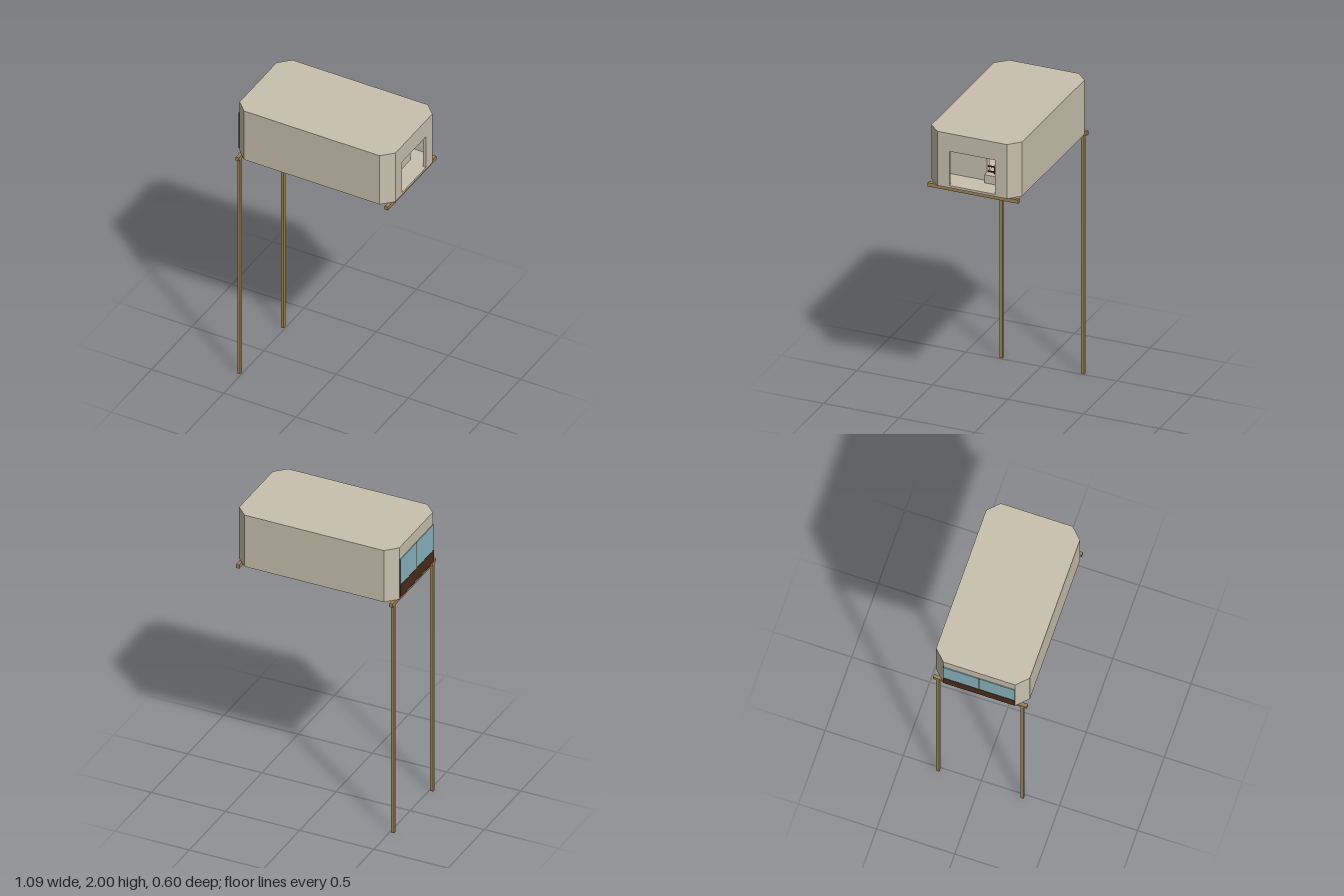
import * as THREE from 'three';

const mat = (name, color, side = THREE.FrontSide) => {
  const m = new THREE.MeshStandardMaterial({ color, side });
  m.name = name;
  return m;
};

export function createModel() {
  const model = new THREE.Group();
  model.name = 'stiltCabin';
  const beige = mat('beige panel', 0xc8c0ae);
  const wood = mat('wood', 0x9c8357);
  const brown = mat('dark brown', 0x4a2c1a);
  const glass = mat('blue glass', 0x8ab4be);
  const frame = mat('dark frame', 0x34302c);

  const box = (name, material, [x0, x1], [y0, y1], [z0, z1], parent = model) => {
    const mesh = new THREE.Mesh(new THREE.BoxGeometry(x1 - x0, y1 - y0, z1 - z0), material);
    mesh.position.set((x0 + x1) / 2, (y0 + y1) / 2, (z0 + z1) / 2);
    mesh.name = name;
    parent.add(mesh);
    return mesh;
  };

  // Eight-sided plan, counted from the front wall round to the +x end
  const X = 0.54, Z = 0.3, CX = 0.47, CZ = 0.23;
  const bottom = 1.635, top = 2, slab = 0.015, thick = 0.02;
  const plan = [[-CX, Z], [CX, Z], [X, CZ], [X, -CZ], [CX, -Z], [-CX, -Z], [-X, -CZ], [-X, CZ]];

  // Floor and roof slabs
  const outline = new THREE.Shape(plan.map(([x, z]) => new THREE.Vector2(x, -z)));
  for (const [name, y] of [['floor', bottom], ['roof', top - slab]]) {
    const geo = new THREE.ExtrudeGeometry(outline, { depth: slab, bevelEnabled: false });
    geo.rotateX(-Math.PI / 2);
    const mesh = new THREE.Mesh(geo, beige);
    mesh.position.y = y;
    mesh.name = name;
    model.add(mesh);
  }

  // Walls: one panel per edge, with an opening in each end wall
  const openings = { 2: [0.15, 1.65, 1.88], 6: [0.215, 1.71, 1.91] };
  const names = ['frontWall', 'cornerWall', 'entranceWall', 'cornerWall',
    'backWall', 'cornerWall', 'windowWall', 'cornerWall'];
  const rect = (Type, w, y0, y1) => new Type([[-w, y0], [w, y0], [w, y1], [-w, y1]]
    .map(([x, y]) => new THREE.Vector2(x, y)));
  plan.forEach(([x0, z0], i) => {
    const [x1, z1] = plan[(i + 1) % 8];
    const dx = x1 - x0, dz = z1 - z0;
    const shape = rect(THREE.Shape, Math.hypot(dx, dz) / 2, bottom + slab, top - slab);
    if (openings[i]) shape.holes.push(rect(THREE.Path, ...openings[i]));
    const geo = new THREE.ExtrudeGeometry(shape, { depth: thick, bevelEnabled: false });
    geo.translate(0, 0, -thick);
    const wall = new THREE.Mesh(geo, beige);
    wall.position.set((x0 + x1) / 2, 0, (z0 + z1) / 2);
    wall.rotation.y = Math.atan2(-dz, dx);
    wall.name = names[i];
    model.add(wall);
  });

  // Big two-pane window with a brown panel below it
  for (const s of [-1, 1]) {
    const a = 0.003 * s, b = 0.228 * s;
    box('windowPane', glass, [-0.545, -0.537], [1.705, 1.915], [Math.min(a, b), Math.max(a, b)]);
    box('windowJamb', frame, [-0.546, -0.538], [1.735, 1.918], [b - 0.002, b + 0.002]);
  }
  box('windowMullion', frame, [-0.545, -0.537], [1.735, 1.915], [-0.003, 0.003]);
  box('lowerPanel', brown, [-0.547, -0.54], [1.65, 1.735], [-0.23, 0.23]);

  // Interior partition and low bench
  box('partition', beige, [0.35, 0.385], [1.65, 1.86], [-0.03, 0.28]);
  box('bench', beige, [0.28, 0.42], [1.65, 1.705], [-0.17, -0.03]);

  // Small brown rack with a ring on the bench
  const rack = new THREE.Group();
  rack.name = 'benchRack';
  model.add(rack);
  for (const y of [1.708, 1.742]) box('rackRail', brown, [0.37, 0.38], [y, y + 0.006], [-0.15, -0.035], rack);
  for (const z of [-0.145, -0.085]) box('rackPost', brown, [0.36, 0.39], [1.705, 1.748], [z, z + 0.007], rack);
  const ring = new THREE.Mesh(new THREE.TorusGeometry(0.014, 0.005, 8, 20), brown);
  ring.rotation.y = Math.PI / 2;
  ring.position.set(0.385, 1.727, -0.113);
  ring.name = 'rackRing';
  rack.add(ring);

  // Cross beams under both ends, and two stilts under the window end
  for (const s of [-1, 1]) {
    const x = 0.5165 * s;
    box('crossBeam', wood, [x - 0.0115, x + 0.0115], [1.61, bottom], [-0.3, 0.3]);
    box('stilt', wood, [-0.528, -0.508], [0, 1.61], [0.27 * s - 0.01, 0.27 * s + 0.01]);
  }
  return model;
}
